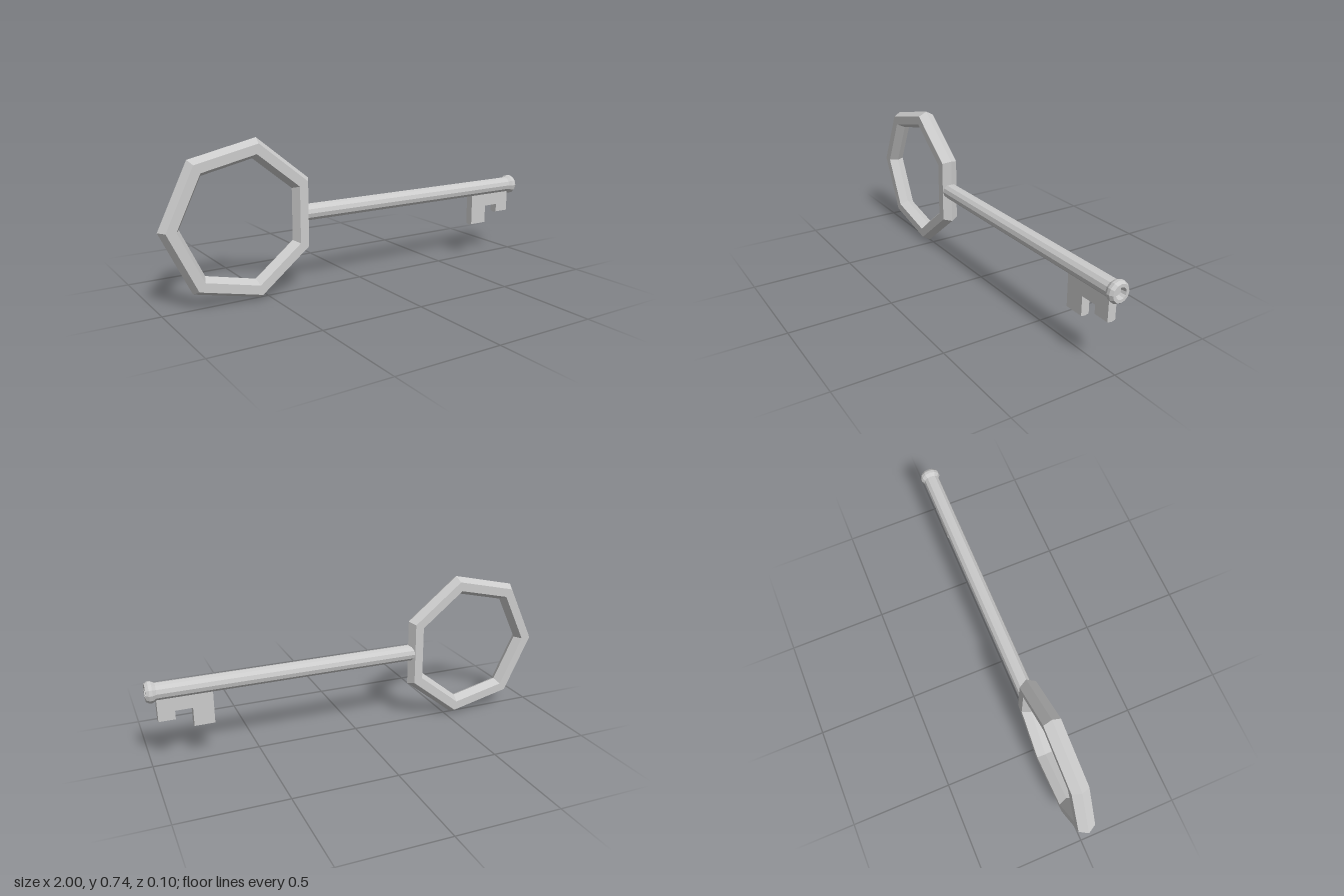
import * as THREE from 'three';

const AXIS_Y = 0.371; // height of the shaft and bow centre

export function createModel() {
  const group = new THREE.Group();
  const material = new THREE.MeshStandardMaterial({ color: 0xcccccc, flatShading: true });
  const add = (name, geometry) => {
    const mesh = new THREE.Mesh(geometry, material);
    mesh.name = name;
    group.add(mesh);
    return mesh;
  };

  // Seven-sided bow with a hexagonal section, one corner pointing to -x
  const bow = add('bow', new THREE.TorusGeometry(0.33, 0.047, 6, 7));
  bow.rotation.z = Math.PI;
  bow.position.set(-0.623, AXIS_Y, 0);

  // Shaft with flared collar and a recessed hole in the tip: [radius, x]
  const profile = [
    [0, -0.31], [0.04, -0.31], [0.04, 0.955], [0.05, 0.972], [0.05, 0.986],
    [0.041, 1], [0.027, 1], [0.022, 0.975], [0, 0.975],
  ].map(([r, x]) => new THREE.Vector2(r, x));
  const shaft = add('shaft', new THREE.LatheGeometry(profile, 12));
  shaft.rotation.z = -Math.PI / 2;
  shaft.position.y = AXIS_Y;

  // Bit: two teeth with slightly pointed lower ends
  const outline = [
    [0.705, 0.36], [0.705, 0.181], [0.8, 0.181], [0.8, 0.272],
    [0.88, 0.272], [0.88, 0.23], [0.957, 0.23], [0.957, 0.36],
  ].map(([x, y]) => new THREE.Vector2(x, y));
  const bit = new THREE.ExtrudeGeometry(new THREE.Shape(outline), {
    depth: 0.04, steps: 2, bevelEnabled: false,
  });
  bit.translate(0, 0, -0.02);
  const p = bit.attributes.position;
  for (let i = 0; i < p.count; i++) {
    if (Math.abs(p.getZ(i)) < 0.001 && p.getY(i) < 0.25) p.setY(i, p.getY(i) - 0.005);
  }
  bit.computeVertexNormals();
  add('bit', bit);

  return group;
}
